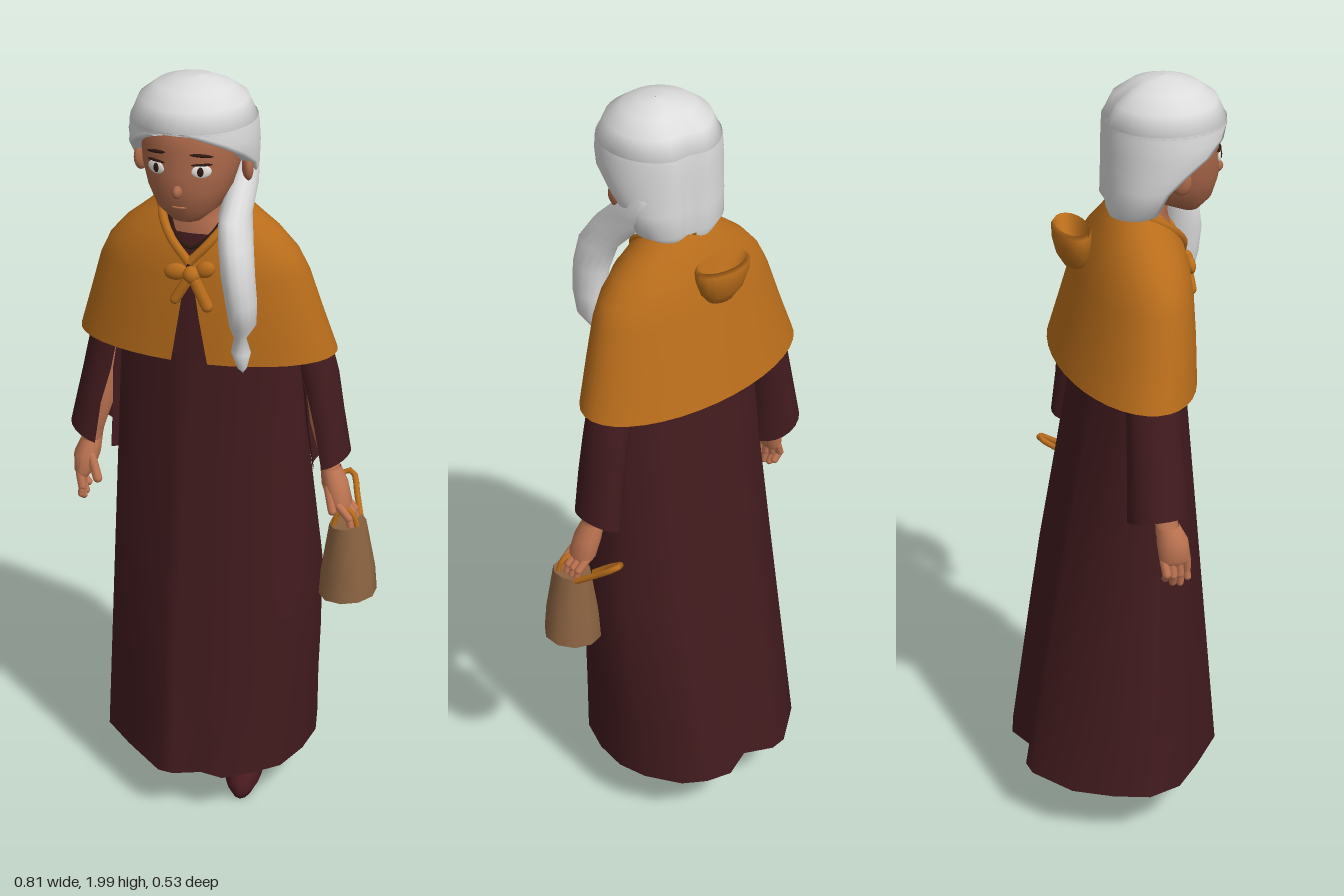
import * as THREE from 'three';
import { mergeVertices, toCreasedNormals } from 'three/addons/utils/BufferGeometryUtils.js';

const mat = (name, color) => {
  const m = new THREE.MeshStandardMaterial({ color, side: THREE.DoubleSide });
  m.name = name;
  return m;
};
const V = (x, y, z) => new THREE.Vector3(x, y, z);

// Skins a grid of vertex rows (ordered bottom to top) into a smooth surface
function skin(grid) {
  const w = grid[0].length, idx = [];
  for (let i = 0; i < grid.length - 1; i++)
    for (let j = 0; j < w - 1; j++) {
      const a = i * w + j, b = a + 1, c = a + w, d = c + 1;
      idx.push(a, b, d, a, d, c);
    }
  let g = new THREE.BufferGeometry();
  g.setAttribute('position', new THREE.Float32BufferAttribute(grid.flat(2), 3));
  g.setIndex(idx);
  g = mergeVertices(g);
  g.computeVertexNormals();
  return g;
}

// Elliptical sections [y, cx, cz, rx, rz, half opening angle]; angle 0 faces the front.
// off turns the opening, tilt slopes the rows along x, rim folds the open edges inward.
function loft(rows, n = 20, { off = 0, tilt = 0, rim = 0 } = {}) {
  return skin(rows.map(([y, cx, cz, rx, rz = rx, open = 0]) => {
    const point = (u, k) => {
      const a = off + open + (2 * Math.PI - 2 * open) * u;
      const dx = rx * k * Math.sin(a);
      return [cx + dx, y + tilt * dx, cz + rz * k * Math.cos(a)];
    };
    const row = Array.from({ length: n + 1 }, (_, j) => point(j / n, 1));
    return rim ? [point(0, rim), ...row, point(1, rim)] : row;
  }));
}

export function createModel() {
  const hair = mat('silver hair', 0xdcdcdc), orange = mat('orange cloth', 0xb96d1b);
  const maroon = mat('maroon cloth', 0x421b1e), shoeRed = mat('shoe leather', 0x471a1f);
  const face = mat('face skin', 0xab684a), hand = mat('hand skin', 0xbf7553);
  const tan = mat('basket tan', 0x8c6442), stocking = mat('stocking tan', 0xa87a4a);
  const dark = mat('dark brown', 0x2c1610), white = mat('eye white', 0xe6e2dc);

  const model = new THREE.Group();
  const add = (name, geo, m, parent = model) => {
    const mesh = new THREE.Mesh(geo, m);
    mesh.name = name;
    parent.add(mesh);
    return mesh;
  };
  const ball = (name, m, p, s, rotY = 0, rotZ = 0) => {
    const b = add(name, new THREE.SphereGeometry(1, 14, 10), m);
    b.position.set(...p);
    b.scale.set(...s);
    b.rotation.set(0, rotY, rotZ);
  };
  const tube = (name, m, pts, r) =>
    add(name, new THREE.TubeGeometry(new THREE.CatmullRomCurve3(pts.map(p => V(...p))), 14, r, 7), m);
  const rod = (name, m, a, b, r) => {
    const p = V(...a), q = V(...b), d = q.clone().sub(p);
    const c = add(name, new THREE.CapsuleGeometry(r, d.length(), 4, 8), m);
    c.position.copy(p).add(q).multiplyScalar(0.5);
    c.quaternion.setFromUnitVectors(V(0, 1, 0), d.normalize());
  };

  // Long skirt: folded hem outline blending into an oval below the chest
  const hem = [[-.07, .26], [0, .235], [.06, .245], [.13, .2], [.19, .15], [.225, .06], [.237, -.03],
    [.22, -.11], [.17, -.2], [.115, -.24], [.05, -.26], [-.03, -.228], [-.1, -.266], [-.145, -.262],
    [-.25, -.185], [-.3, -.09], [-.328, 0], [-.3, .09], [-.22, .165], [-.11, .255]];
  hem.push(hem[0]);
  const bulge = [[0, 0], [.15, .01], [.3, .022], [.48, .03], [.74, .005], [1, 0]];
  add('skirt', skin(bulge.map(([t, b]) => hem.map(([x, z]) => {
    const a = Math.atan2(x + .045, z), s = Math.sin(a);
    const y0 = .15 - z * .04;
    return [x + (-.025 + .235 * s - x) * t + b * Math.max(0, s),
      y0 + (1.3 - y0) * t, z + (.04 + .122 * Math.cos(a) - z) * t];
  }))), maroon);
  add('bodice', loft([[1.3, -.025, .04, .235, .122], [1.45, -.035, .045, .21, .11],
    [1.55, -.045, .05, .17, .098], [1.61, -.045, .055, .112, .084]], 24), maroon);

  // Shoulder cape, open down the front with a V at the neck
  add('cape', loft([[1.285, -.045, .01, .328, .162, .14], [1.4, -.045, .025, .292, .147, .09],
    [1.5, -.045, .036, .262, .132, .04], [1.55, -.045, .04, .238, .122, .03],
    [1.6, -.045, .044, .195, .108, .25], [1.64, -.045, .045, .145, .09, .5],
    [1.67, -.045, .045, .11, .075, .8], [1.69, -.045, .045, .088, .06, 1]], 36), orange);
  for (const s of [-1, 1])
    tube('capeCollar', orange, [[-.045, 1.545, .165], [-.045 + s * .05, 1.6, .15],
      [-.045 + s * .085, 1.65, .105], [-.045 + s * .085, 1.685, .05], [-.045, 1.69, -.015]], .011);

  // Small hood lying on the back
  add('hood', loft([[1.535, -.04, -.105, .002], [1.55, -.04, -.106, .037, .024], [1.58, -.04, -.11, .062, .038],
    [1.615, -.04, -.112, .077, .044], [1.642, -.04, -.112, .08, .045], [1.652, -.04, -.112, .072, .038],
    [1.61, -.04, -.108, .055, .03], [1.585, -.04, -.106, .002]], 18), orange);

  // Bow at the chest
  ball('bowKnot', orange, [-.035, 1.52, .178], [.022, .022, .02]);
  ball('bowLoop', orange, [-.075, 1.523, .175], [.03, .021, .014], 0, .2);
  ball('bowLoop', orange, [-.002, 1.535, .172], [.026, .02, .014], 0, .5);
  rod('bowTail', orange, [-.045, 1.505, .18], [-.075, 1.455, .182], .013);
  rod('bowTail', orange, [-.025, 1.505, .18], [.005, 1.445, .182], .015);

  // Neck and chest, necklace and head
  add('neck', loft([[1.58, -.045, .054, .12, .084], [1.61, -.045, .056, .109, .083], [1.64, -.045, .062, .075, .068],
    [1.67, -.045, .072, .05, .052], [1.76, -.045, .09, .048, .05]], 18), face);
  tube('necklace', dark, [[-.115, 1.645, .1], [-.085, 1.605, .142], [-.045, 1.58, .155],
    [-.005, 1.605, .142], [.025, 1.645, .1]], .005);
  add('head', loft([[1.662, -.045, .18, .001], [1.667, -.045, .178, .035, .028], [1.7, -.045, .155, .077, .08],
    [1.75, -.045, .14, .102, .11], [1.8, -.045, .135, .116, .117], [1.85, -.045, .13, .121, .118],
    [1.9, -.045, .13, .115, .118], [1.95, -.045, .125, .08, .085], [1.96, -.045, .125, .001]], 24), face);
  ball('nose', face, [-.045, 1.758, .25], [.012, .016, .018]);
  ball('mouth', hand, [-.045, 1.715, .235], [.02, .005, .006]);
  for (const s of [-1, 1]) {
    const x = -.045 + s * .055;
    ball('eye', white, [x, 1.81, .237], [.024, .016, .005], s * .4);
    ball('iris', dark, [x - s * .002, 1.81, .24], [.009, .012, .005], s * .4);
    ball('upperLid', dark, [x, 1.826, .236], [.026, .003, .006], s * .4);
    ball('eyebrow', dark, [x, 1.848, .236], [.028, .004, .005], s * .4, -s * .12);
    ball('ear', face, [-.045 + s * .13, 1.785, .115], [.014, .034, .026], s * .4);
  }

  // Hair swept back, with a soft parting behind and a hanging tail over the left shoulder
  const sides = loft([[1.665, -.045, .025, .07, .05, 1.1], [1.7, -.045, .045, .125, .083, 1.4],
    [1.76, -.045, .08, .143, .117, 1.55], [1.8, -.045, .1, .151, .137, 1.4], [1.84, -.045, .112, .155, .149, 1.05],
    [1.87, -.045, .115, .154, .152, .72], [1.893, -.045, .115, .152, .151, .35],
    [1.905, -.045, .115, .15, .15, .03]], 36, { rim: .78 });
  const dome = loft([[1.902, -.045, .115, .12, .12], [1.9, -.045, .115, .15, .15], [1.95, -.045, .115, .129, .128],
    [1.98, -.045, .115, .09, .087], [1.995, -.04, .115, .045, .045], [2, -.035, .115, .001]], 36);
  for (const g of [sides, dome]) {
    const p = g.attributes.position;
    for (let i = 0; i < p.count; i++)
      if (p.getZ(i) < .06)
        p.setZ(i, p.getZ(i) + .018 * Math.exp(-(((p.getX(i) + .02) / .03) ** 2)));
    g.computeVertexNormals();
  }
  add('hairSides', sides, hair);
  add('hairDome', dome, hair);
  add('hairTail', loft([[1.285, .095, .185, .002], [1.3, .095, .19, .012], [1.34, .092, .19, .024],
    [1.378, .09, .19, .015], [1.42, .1, .203, .032, .042], [1.48, .098, .21, .037, .05], [1.55, .09, .212, .04, .052],
    [1.62, .08, .195, .041, .057], [1.68, .066, .15, .038, .066], [1.74, .068, .095, .036, .06],
    [1.8, .075, .06, .022, .04], [1.82, .08, .06, .002]], 14), hair);

  // Sleeves with an inner slit, showing the forearms
  add('rightSleeve', loft([[.985, -.338, .01, .07, .075, .3], [1.1, -.322, .01, .06, .071, .25],
    [1.2, -.305, .01, .055, .068, .04], [1.3, -.285, .012, .052, .066], [1.5, -.235, .025, .045, .055]],
  20, { off: .5, tilt: -.4 }), maroon);
  add('leftSleeve', loft([[.985, .272, -.005, .046, .07, .3], [1.1, .255, 0, .045, .067, .25],
    [1.2, .24, 0, .045, .065, .04], [1.3, .215, .005, .045, .064], [1.5, .145, .025, .045, .055]],
  20, { off: -.5, tilt: .4 }), maroon);
  add('rightForearm', loft([[.95, -.352, .03, .024, .03], [1, -.342, .028, .024, .028],
    [1.1, -.315, .033, .032, .04], [1.25, -.29, .02, .03, .035]], 12), hand);
  add('leftForearm', loft([[.95, .277, .012, .024, .03], [1, .268, .012, .023, .028],
    [1.1, .25, .022, .027, .038], [1.25, .225, .01, .025, .034]], 12), hand);

  // Relaxed right hand, and left hand closed on the basket handle
  add('rightPalm', loft([[.868, -.366, .045, .014, .032], [.885, -.366, .045, .025, .04],
    [.93, -.36, .04, .034, .04], [.97, -.35, .03, .027, .03]], 12), hand);
  add('leftPalm', loft([[.862, .306, .025, .018, .03], [.88, .303, .022, .03, .038],
    [.93, .287, .018, .034, .036], [.97, .274, .012, .026, .03]], 12), hand);
  for (let i = 0; i < 4; i++) {
    const z = .016 + i * .019, len = [.05, .064, .068, .055][i];
    rod('rightFinger', hand, [-.37, .88, z], [-.382 + i * .006, .88 - len * .6, z + .003], .011);
    rod('rightFinger', hand, [-.382 + i * .006, .88 - len * .6, z + .003], [-.366, .88 - len, z + .005], .0095);
    rod('leftFinger', hand, [.308, .88, z - .02], [.335, .852, z - .016], .0105);
    rod('leftFinger', hand, [.335, .852, z - .016], [.34, .832, z - .014], .009);
  }
  rod('rightThumb', hand, [-.342, .93, .062], [-.322, .875, .075], .012);
  rod('leftThumb', hand, [.275, .925, .04], [.292, .868, .058], .012);

  // Basket with two handles
  const basket = loft([[.63, .331, .035, .001], [.632, .331, .035, .074, .073], [.7, .33, .035, .069, .068],
    [.832, .327, .035, .046, .051], [.824, .327, .035, .001]], 10, { tilt: .1 });
  add('basket', toCreasedNormals(basket, .7), tan);
  tube('frontHandle', orange, [[.295, .825, .055], [.305, .86, .05], [.325, .87, .045],
    [.345, .86, .05], [.358, .825, .055]], .007);
  tube('backHandle', orange, [[.29, .825, -.005], [.278, .862, -.05], [.283, .9, -.1],
    [.305, .9, -.1], [.33, .862, -.05], [.35, .83, -.005]], .008);

  // Legs and slippers: left planted and turned out, right lifted mid-step under the skirt
  for (const side of ['left', 'right']) {
    const leg = new THREE.Group();
    leg.name = side + 'Leg';
    add('stocking', loft([[.05, .045, .025, .03, .045], [.09, .043, .02, .032, .045], [.14, .04, 0, .032, .038],
      [.3, .035, -.01, .045, .05], [.42, .03, 0, .05, .055]], 14), stocking, leg);
    add('slipper', loft([[.006, .057, .03, .001], [.008, .057, .03, .038, .122], [.03, .057, .03, .05, .135],
      [.055, .056, .025, .046, .128], [.07, .054, .01, .041, .105], [.082, .048, -.03, .037, .07],
      [.14, .043, -.062, .031, .042], [.142, .043, -.06, .026, .034], [.12, .043, -.05, .001]], 18), shoeRed, leg);
    if (side === 'left') {
      leg.rotation.y = .18;
      leg.position.x = -.006;
    } else {
      leg.position.set(-.18, .24, -.09);
      leg.rotation.x = .4;
    }
    model.add(leg);
  }
  return model;
}
